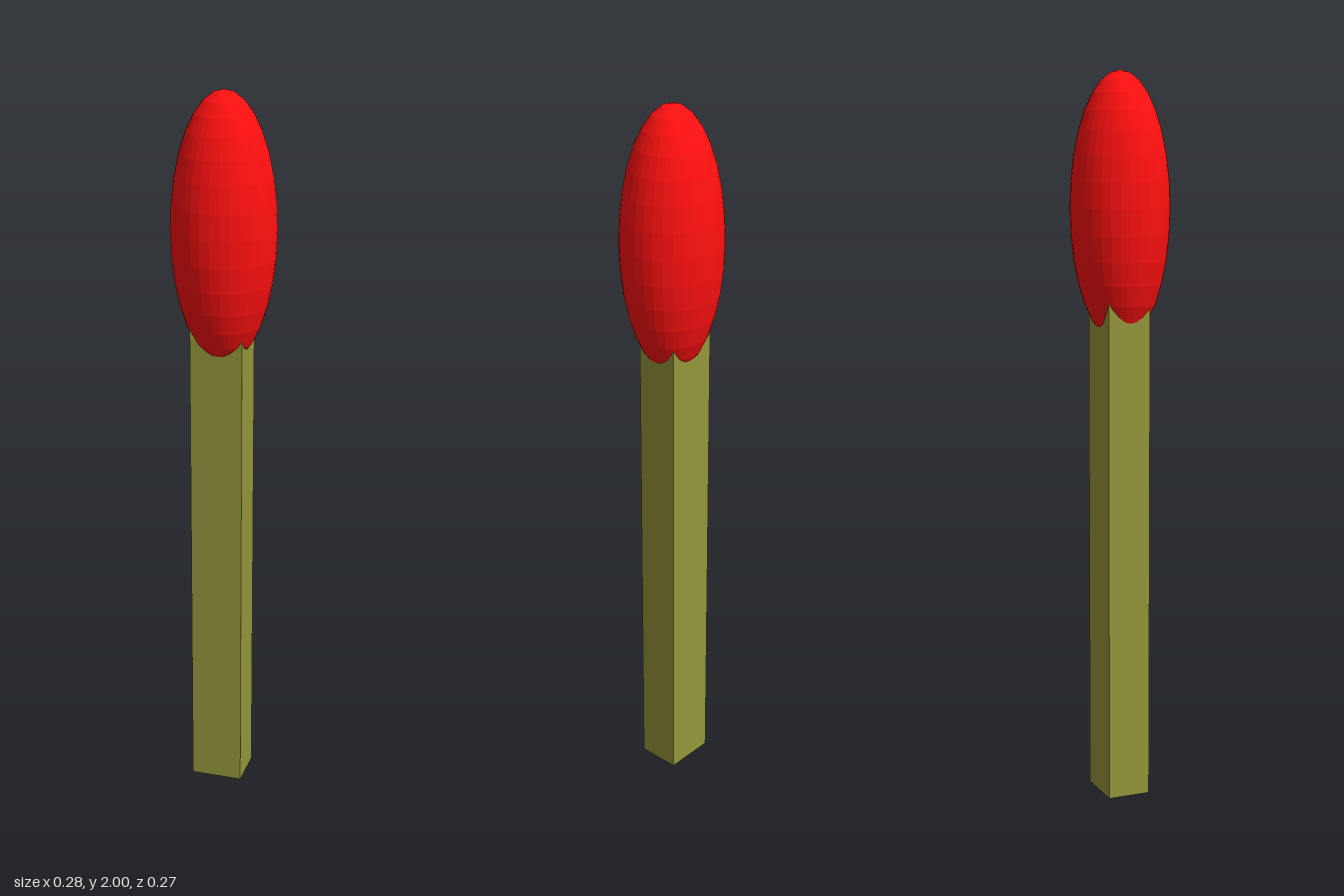
import * as THREE from 'three';

export function createModel() {
  const model = new THREE.Group();
  const addPart = (name, geometry, color, x, y, z) => {
    const material = new THREE.MeshStandardMaterial({ color, flatShading: true });
    const mesh = new THREE.Mesh(geometry, material);
    mesh.name = name;
    mesh.position.set(x, y, z);
    model.add(mesh);
  };

  // Square wooden stick, slightly off the head's axis, ending inside the head
  const stickHeight = 1.6;
  addPart('stick', new THREE.BoxGeometry(0.145, stickHeight, 0.12), 0x94973a,
    -0.006, stickHeight / 2, -0.005);

  // Faceted, elongated head
  const head = new THREE.SphereGeometry(1, 32, 16).scale(0.142, 0.366, 0.135);
  addPart('head', head, 0xff1010, 0, 1.634, 0);

  return model;
}
